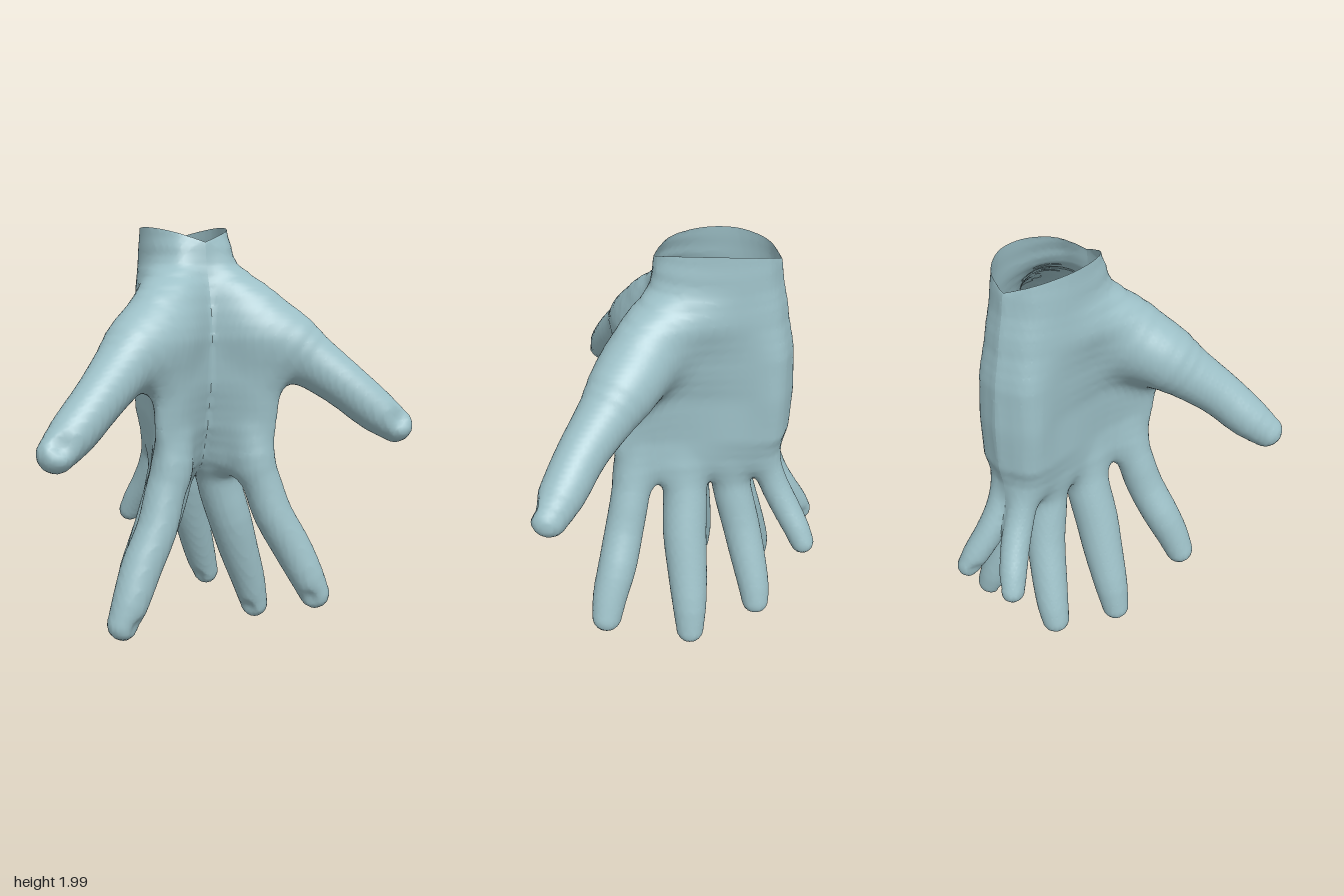
import * as THREE from 'three';

const skin = new THREE.MeshStandardMaterial({ color: 0x9dc0c7, side: THREE.DoubleSide });
skin.name = 'pale teal skin';

const spline = pts => new THREE.CatmullRomCurve3(pts, false, 'catmullrom', 0.5);
const smoothMin = (a, b, k) => Math.min(a, b) - Math.max(k - Math.abs(a - b), 0) ** 2 / (4 * k);
const smoothMax = (a, b, k) => -smoothMin(-a, -b, k);

// Palm outline at each height: [x, z] from the front seam round the palm to the rear seam
const palmSections = [
  [2.08, [[0, .16], [.11, .11], [.17, .02], [.195, -.1], [.18, -.22], [.11, -.33], [0, -.375]]],
  [2.00, [[0, .165], [.11, .11], [.17, .02], [.195, -.1], [.18, -.22], [.11, -.33], [0, -.38]]],
  [1.86, [[0, .18], [.12, .16], [.19, .06], [.21, -.08], [.19, -.22], [.12, -.34], [0, -.40]]],
  [1.70, [[0, .22], [.16, .27], [.28, .22], [.27, 0], [.21, -.2], [.13, -.37], [0, -.43]]],
  [1.50, [[0, .25], [.17, .34], [.30, .31], [.24, .05], [.19, -.2], [.15, -.40], [0, -.465]]],
  [1.30, [[0, .24], [.19, .355], [.31, .33], [.21, .08], [.175, -.2], [.16, -.40], [0, -.475]]],
  [1.10, [[0, .20], [.18, .34], [.30, .32], [.20, .1], [.18, -.2], [.15, -.40], [0, -.465]]],
  [0.95, [[0, .15], [.17, .33], [.28, .31], [.21, .1], [.17, -.15], [.13, -.36], [0, -.43]]],
  [0.80, [[0, .06], [.13, .28], [.23, .27], [.17, .06], [.13, -.14], [.09, -.32], [0, -.38]]],
];
const palmFloor = 0.835;
const rim = x => 1.93 + 0.36 * x; // open wrist edge, dipping toward the seam

// Fingers as [x, y, z, radius] points, with the way the nail faces and the blend into the palm
const fingers = {
  thumb: {
    nail: [0.1, 0.35, 1], blend: 0.13,
    pts: [[.2, 1.6, .17, .13], [.27, 1.545, .215, .155], [.36, 1.475, .275, .155], [.46, 1.395, .34, .128],
      [.59, 1.285, .43, .108], [.71, 1.175, .495, .1], [.80, 1.1, .545, .08]],
  },
  indexFinger: {
    nail: [-0.7, 0, 0.7], blend: 0.06,
    pts: [[.19, 1.05, .26, .06], [.21, .93, .275, .088], [.25, .8, .29, .092], [.295, .66, .315, .093],
      [.38, .5, .345, .093], [.44, .37, .378, .085], [.487, .262, .395, .073]],
  },
  middleFinger: {
    nail: [-0.8, 0, 0.6], blend: 0.06,
    pts: [[.09, 1.02, .05, .06], [.105, .9, .04, .1], [.14, .75, .03, .108], [.195, .58, .03, .108],
      [.255, .4, .015, .1], [.32, .22, .0, .087], [.36, .075, -.005, .07]],
  },
  ringFinger: {
    nail: [-0.9, 0, 0.4], blend: 0.06,
    pts: [[.05, 1.02, -.15, .06], [.05, .9, -.175, .09], [.065, .75, -.2, .095], [.09, .57, -.245, .094],
      [.14, .4, -.287, .089], [.19, .25, -.322, .08], [.22, .16, -.335, .069]],
  },
  littleFinger: {
    nail: [-0.9, 0, -0.2], blend: 0.05,
    pts: [[.05, 1.05, -.32, .06], [.055, .93, -.355, .07], [.06, .8, -.4, .07], [.08, .68, -.46, .07],
      [.115, .57, -.522, .066], [.14, .49, -.56, .059]],
  },
};

// Signed distance to a finger: a tapering tube with a nail bed pressed into the tip
function fingerField({ pts, nail }) {
  const n = 14;
  const centres = spline(pts.map(p => new THREE.Vector3(p[0], p[1], p[2]))).getPoints(n);
  const radii = spline(pts.map((p, i) => new THREE.Vector3(p[3], i, 0))).getPoints(n).map(p => p.x);
  const tip = centres[n], dir = tip.clone().sub(centres[n - 1]).normalize();
  const up = new THREE.Vector3(...nail);
  up.addScaledVector(dir, -up.dot(dir)).normalize();
  const bed = tip.clone().addScaledVector(up, radii[n] + 0.035);
  return (x, y, z) => {
    let d = Infinity;
    for (let i = 0; i < n; i++) {
      const a = centres[i], b = centres[i + 1];
      const ux = b.x - a.x, uy = b.y - a.y, uz = b.z - a.z;
      const px = x - a.x, py = y - a.y, pz = z - a.z;
      const t = Math.min(Math.max((px * ux + py * uy + pz * uz) / (ux * ux + uy * uy + uz * uz), 0), 1);
      const r = radii[i] + (radii[i + 1] - radii[i]) * t;
      d = Math.min(d, Math.hypot(px - ux * t, py - uy * t, pz - uz * t) - r);
    }
    return smoothMax(d, 0.055 - Math.hypot(x - bed.x, y - bed.y, z - bed.z), 0.03);
  };
}

// Signed distance to the palm, measured from its outline at the given height
function palmField() {
  const cols = 24, steps = 120, top = palmSections[0][0];
  const low = palmSections[palmSections.length - 1][0];
  const outlines = palmSections.map(([y, pts]) =>
    spline(pts.map(([x, z]) => new THREE.Vector3(x, y, z))).getPoints(cols));
  const layers = Array.from({ length: steps + 1 }, (_, s) => {
    const y = top + (low - top) * s / steps;
    let i = 0;
    while (i < palmSections.length - 2 && palmSections[i + 1][0] > y) i++;
    const span = palmSections[i][0] - palmSections[i + 1][0];
    const t = THREE.MathUtils.smoothstep((palmSections[i][0] - y) / span, 0, 1) * 0.4
      + (palmSections[i][0] - y) / span * 0.6;
    return outlines[i].map((p, j) => p.clone().lerp(outlines[i + 1][j], t));
  });
  return (x, y, z) => {
    const s = Math.min(Math.max((top - y) / (top - low), 0), 1) * steps;
    const line = layers[Math.round(s)];
    let d = Infinity, inside = false;
    for (let j = 0; j < cols; j++) {
      const a = line[j], b = line[j + 1], ux = b.x - a.x, uz = b.z - a.z;
      const t = Math.min(Math.max(((x - a.x) * ux + (z - a.z) * uz) / (ux * ux + uz * uz), 0), 1);
      d = Math.min(d, Math.hypot(x - a.x - ux * t, z - a.z - uz * t));
      if (a.z > z !== b.z > z && x < a.x + (z - a.z) / uz * ux) inside = !inside;
    }
    return smoothMax(inside ? -d : d, palmFloor - y, 0.08);
  };
}

// Skin one hand over the blended parts; returns its points and a list of quads for each part
function skinHand() {
  const h = 0.018, min = [-h / 2, -0.04, -0.68], size = [53, 119, 76];
  const palm = palmField();
  const parts = Object.entries(fingers).map(([name, f]) => ({ name, blend: f.blend, field: fingerField(f) }));
  const field = (x, y, z) => {
    const base = palm(x, y, z);
    return parts.reduce((d, p) => Math.min(d, smoothMin(base, p.field(x, y, z), p.blend)), base);
  };
  const stride = [1, size[0], size[0] * size[1]];
  const values = new Float32Array(stride[2] * size[2]);
  const each = (from, trim, fn) => {
    for (let k = from; k < size[2] - trim; k++)
      for (let j = from; j < size[1] - trim; j++)
        for (let i = from; i < size[0] - trim; i++) fn([i, j, k], i + j * stride[1] + k * stride[2]);
  };
  each(0, 0, (c, id) => {
    values[id] = field(Math.abs(min[0] + c[0] * h), min[1] + c[1] * h, min[2] + c[2] * h);
  });

  // One point in every cell the surface crosses
  const points = [], cellPoint = new Map();
  each(0, 1, (c, id) => {
    const sum = [0, 0, 0];
    let hits = 0;
    for (let axis = 0; axis < 3; axis++) for (let m = 0; m < 4; m++) {
      const u = (axis + 1) % 3, v = (axis + 2) % 3, o = [0, 0, 0];
      o[u] = m & 1;
      o[v] = m >> 1;
      const e = id + o[u] * stride[u] + o[v] * stride[v];
      const a = values[e], b = values[e + stride[axis]];
      if (a < 0 === b < 0) continue;
      o[axis] = a / (a - b);
      o.forEach((w, i) => { sum[i] += w; });
      hits++;
    }
    if (!hits) return;
    cellPoint.set(id, points.length);
    points.push(sum.map((w, i) => min[i] + (c[i] + w / hits) * h));
  });

  // One quad round every grid edge the surface crosses, filed under the nearest part
  const quads = { palmAndWrist: [] };
  for (const p of parts) quads[p.name] = [];
  each(1, 1, (c, id) => {
    for (let axis = 0; axis < 3; axis++) {
      const a = values[id], b = values[id + stride[axis]];
      if (a < 0 === b < 0) continue;
      const u = stride[(axis + 1) % 3], v = stride[(axis + 2) % 3];
      const q = [id - u - v, id - v, id, id - u].map(n => cellPoint.get(n));
      if (a >= 0) q.reverse();
      if (q.every(n => points[n][1] > rim(points[n][0]))) continue;
      const p = points[q[0]];
      let best = palm(...p), name = 'palmAndWrist';
      for (const part of parts) {
        const d = part.field(...p);
        if (d < best) { best = d; name = part.name; }
      }
      quads[name].push(q);
    }
  });
  for (const p of points) p[1] = Math.min(p[1], rim(p[0]));
  return { points, quads };
}

export function createModel() {
  const model = new THREE.Group();
  model.name = 'mirroredHands';
  const { points, quads } = skinHand();
  const triangles = (list, side) => list.flatMap(([a, b, c, d]) =>
    side > 0 ? [a, b, c, a, c, d] : [a, c, b, a, d, c]);
  for (const side of [1, -1]) {
    const hand = new THREE.Group();
    hand.name = side > 0 ? 'leftHand' : 'rightHand';
    // Normals come from the whole hand, so the parts join smoothly
    const whole = new THREE.BufferGeometry();
    whole.setAttribute('position', new THREE.Float32BufferAttribute(points.flatMap(([x, y, z]) => [side * x, y, z]), 3));
    whole.setIndex(triangles(Object.values(quads).flat(), side));
    whole.computeVertexNormals();
    for (const [name, list] of Object.entries(quads)) {
      const part = whole.clone();
      part.setIndex(triangles(list, side));
      const mesh = new THREE.Mesh(part, skin);
      mesh.name = name;
      hand.add(mesh);
    }
    model.add(hand);
  }
  return model;
}
